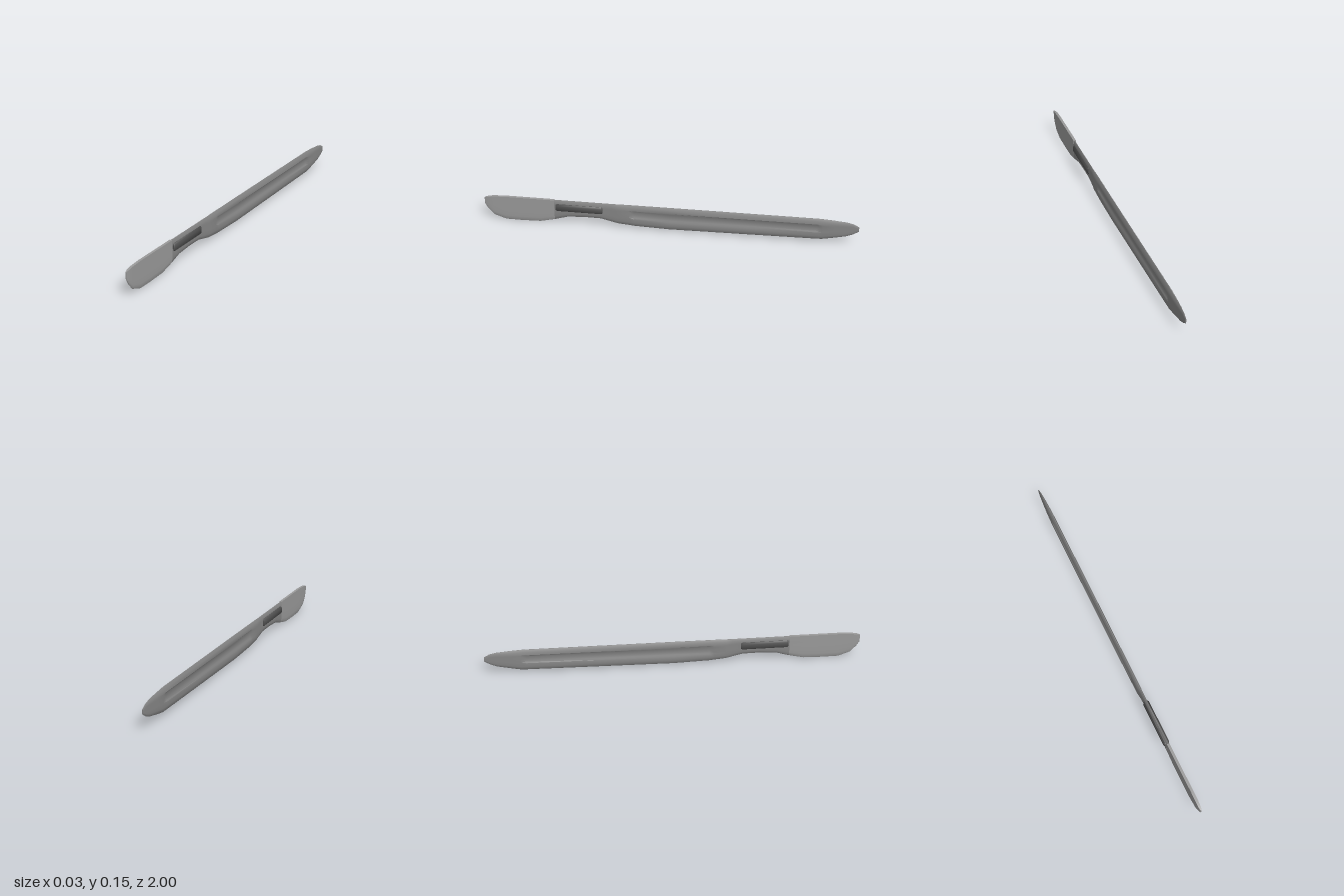
import * as THREE from 'three';
import { toCreasedNormals } from 'three/addons/utils/BufferGeometryUtils.js';

const handleMaterial = new THREE.MeshStandardMaterial({ color: 0x868686 });
const bladeMaterial = new THREE.MeshStandardMaterial({ color: 0x9a9a9a });
const barMaterial = new THREE.MeshStandardMaterial({ color: 0x505050 });

// Cross-section rows: height fraction, handle half-width, groove share, blade half-width
const rows = [
  [0.00, 0.08, 0, 0.05], [0.06, 0.65, 0, 0.60], [0.18, 0.95, 0, 0.80],
  [0.36, 1.00, 0, 0.88], [0.42, 1.00, 0.85, 0.90], [0.55, 1.00, 1, 0.93],
  [0.69, 1.00, 0.85, 0.95], [0.76, 1.00, 0, 0.97], [0.90, 0.80, 0, 0.99],
  [1.00, 0.12, 0, 1.00],
];

// Stations: z, bottom, top, half-width, groove depth
const handleStations = [
  [-1.00, 0.090, 0.118, 0.002, 0], [-0.97, 0.070, 0.135, 0.004, 0],
  [-0.935, 0.055, 0.143, 0.006, 0], [-0.87, 0.040, 0.149, 0.009, 0],
  [-0.81, 0.027, 0.153, 0.010, 0], [-0.78, 0.026, 0.154, 0.010, 0.6],
  [-0.40, 0.020, 0.153, 0.010, 0.6], [0.00, 0.014, 0.152, 0.010, 0.6],
  [0.19, 0.020, 0.151, 0.010, 0.6], [0.215, 0.023, 0.151, 0.010, 0],
  [0.28, 0.029, 0.150, 0.010, 0], [0.31, 0.037, 0.150, 0.007, 0],
  [0.37, 0.052, 0.150, 0.007, 0], [0.46, 0.053, 0.150, 0.007, 0],
  [0.55, 0.047, 0.150, 0.007, 0], [0.62, 0.025, 0.150, 0.007, 0],
];
const bladeStations = [
  [0.62, 0.025, 0.150, 0.007, 0], [0.70, 0.005, 0.150, 0.007, 0],
  [0.80, 0.002, 0.150, 0.007, 0], [0.89, 0.003, 0.150, 0.007, 0],
  [0.955, 0.028, 0.146, 0.007, 0], [0.985, 0.065, 0.140, 0.006, 0],
  [1.00, 0.092, 0.135, 0.003, 0],
];

// Skins mirrored cross-sections along z and closes both ends
function loft(stations, isBlade) {
  const positions = [], index = [];
  const n = rows.length * 2;
  for (const [z, bottom, top, width, groove] of stations) {
    const side = rows.map(([t, handleW, grooveW, bladeW]) => [
      width * (isBlade ? bladeW : handleW - groove * grooveW),
      bottom + (top - bottom) * t,
    ]);
    for (const [x, y] of side) positions.push(x, y, z);
    for (const [x, y] of [...side].reverse()) positions.push(-x, y, z);
  }
  for (let i = 0; i < stations.length - 1; i++) {
    for (let j = 0; j < n; j++) {
      const a = i * n + j, b = i * n + (j + 1) % n;
      index.push(a, b, b + n, a, b + n, a + n);
    }
  }
  const last = (stations.length - 1) * n;
  for (let j = 0; j < rows.length - 1; j++) {
    const a = j, b = j + 1, c = n - 2 - j, d = n - 1 - j;
    index.push(a, c, b, a, d, c);
    index.push(last + a, last + b, last + c, last + a, last + c, last + d);
  }
  const geometry = new THREE.BufferGeometry();
  geometry.setAttribute('position', new THREE.Float32BufferAttribute(positions, 3));
  geometry.setIndex(index);
  return toCreasedNormals(geometry, 0.6);
}

function addPart(group, name, geometry, material) {
  const mesh = new THREE.Mesh(geometry, material);
  mesh.name = name;
  group.add(mesh);
  return mesh;
}

export function createModel() {
  const group = new THREE.Group();
  group.name = 'scalpel';

  // Grooved handle with a rounded tail and a narrow neck
  addPart(group, 'handle', loft(handleStations, false), handleMaterial);

  // Blade with a flat spine and a bevelled cutting edge
  addPart(group, 'blade', loft(bladeStations, true), bladeMaterial);

  // Chamfered mounting bar through the neck
  const section = new THREE.Shape([
    [-0.009, 0.085], [0.009, 0.085], [0.016, 0.094], [0.016, 0.119],
    [0.009, 0.128], [-0.009, 0.128], [-0.016, 0.119], [-0.016, 0.094],
  ].map(([x, y]) => new THREE.Vector2(x, y)));
  const bar = new THREE.ExtrudeGeometry(section, {
    depth: 0.24, bevelEnabled: true, bevelSegments: 1,
    bevelThickness: 0.007, bevelSize: 0.004, bevelOffset: -0.004,
  });
  addPart(group, 'mountingBar', toCreasedNormals(bar, 0.9), barMaterial).position.z = 0.365;

  return group;
}
